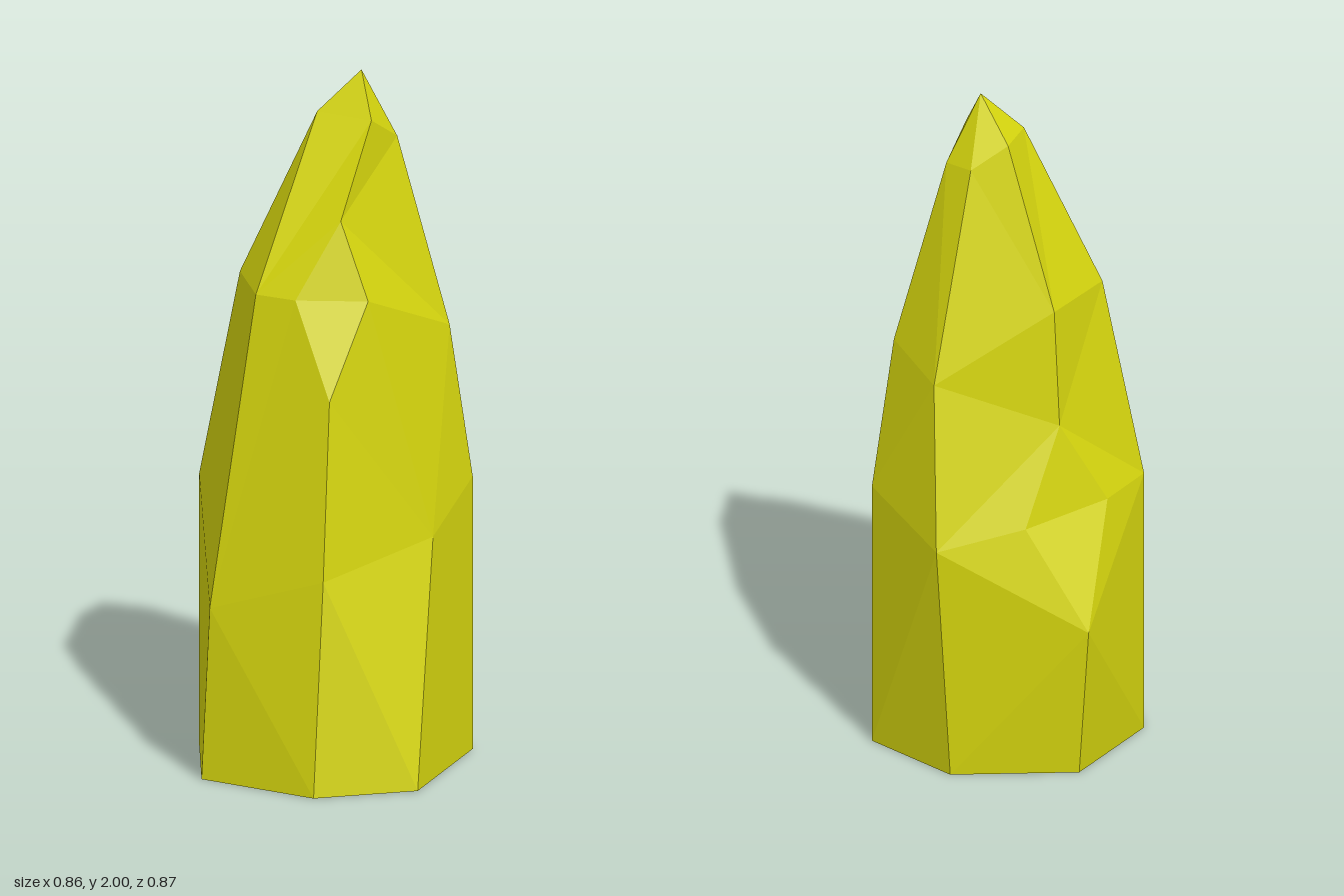
import * as THREE from 'three';

// Points shared by several ridges
const tip = [0.01, 2, -0.1];
const frontShoulder = [-0.065, 1.88, 0];
const notch = [0.15, 1.62, 0.095];
const sideShoulder = [0.095, 1.875, -0.065];
const chipBase = [-0.38, 0, -0.125];
const chipLow = [-0.43, 0.46, -0.142];
const chipTop = [[-0.285, 1.05, -0.1], [-0.265, 1.4, -0.1], [-0.11, 1.88, -0.12], tip];

// Crystal ridges from base to tip, in order around the crystal from the front towards +x
const ridges = [
  [[-0.06, 0, 0.432], [-0.05, 0.5, 0.41], [-0.02, 1.4, 0.265], frontShoulder, tip],
  [[0.297, 0, 0.32], [0.28, 0.62, 0.27], [0.24, 1.13, 0.213], [0.1, 1.4, 0.22], notch, sideShoulder, tip],
  [[0.427, 0, 0.045], [0.305, 0.69, -0.115], [0.24, 1.4, 0.07], notch, sideShoulder, tip],
  [[0.195, 0, -0.355], [0.195, 0.8, -0.355], [0.165, 1.25, -0.295], [0.06, 1.8, -0.19], tip],
  [[-0.115, 0, -0.375], [-0.115, 0.72, -0.435], [-0.05, 1.2, -0.37], [-0.04, 1.81, -0.2], tip],
  // The last-but-one ridge splits in two around a small chipped facet
  [chipBase, chipLow, [-0.275, 0.77, -0.235], ...chipTop],
  [chipBase, chipLow, [-0.36, 0.8, 0.02], ...chipTop],
  [[-0.33, 0, 0.212], [-0.33, 0.8, 0.212], [-0.235, 1.4, 0.142], frontShoulder, tip],
];

// Fill the strip between two ridges, always climbing the one whose next point is lower
function stitch(a, b, out) {
  const add = (p, q, r) => {
    if (p !== q && q !== r && r !== p) out.push(...p, ...q, ...r);
  };
  let i = 0, j = 0;
  while (i < a.length - 1 || j < b.length - 1) {
    const nextA = i < a.length - 1 ? a[i + 1][1] : Infinity;
    const nextB = j < b.length - 1 ? b[j + 1][1] : Infinity;
    if (nextA < nextB) {
      add(a[i], b[j], a[i + 1]);
      i++;
    } else {
      add(a[i], b[j], b[j + 1]);
      j++;
    }
  }
}

export function createModel() {
  const positions = [];
  ridges.forEach((ridge, k) => stitch(ridge, ridges[(k + 1) % ridges.length], positions));

  // Flat underside
  const base = ridges.map((ridge) => ridge[0]);
  for (let k = 1; k < base.length - 1; k++) {
    if (base[k] !== base[k + 1]) positions.push(...base[0], ...base[k + 1], ...base[k]);
  }

  const geometry = new THREE.BufferGeometry();
  geometry.setAttribute('position', new THREE.Float32BufferAttribute(positions, 3));
  geometry.computeVertexNormals(); // unshared corners give flat facets

  const material = new THREE.MeshStandardMaterial({ color: 0xd6d60e });
  material.name = 'crystalYellow';

  const crystal = new THREE.Mesh(geometry, material);
  crystal.name = 'crystal';
  const group = new THREE.Group();
  group.name = 'crystalShard';
  group.add(crystal);
  return group;
}
